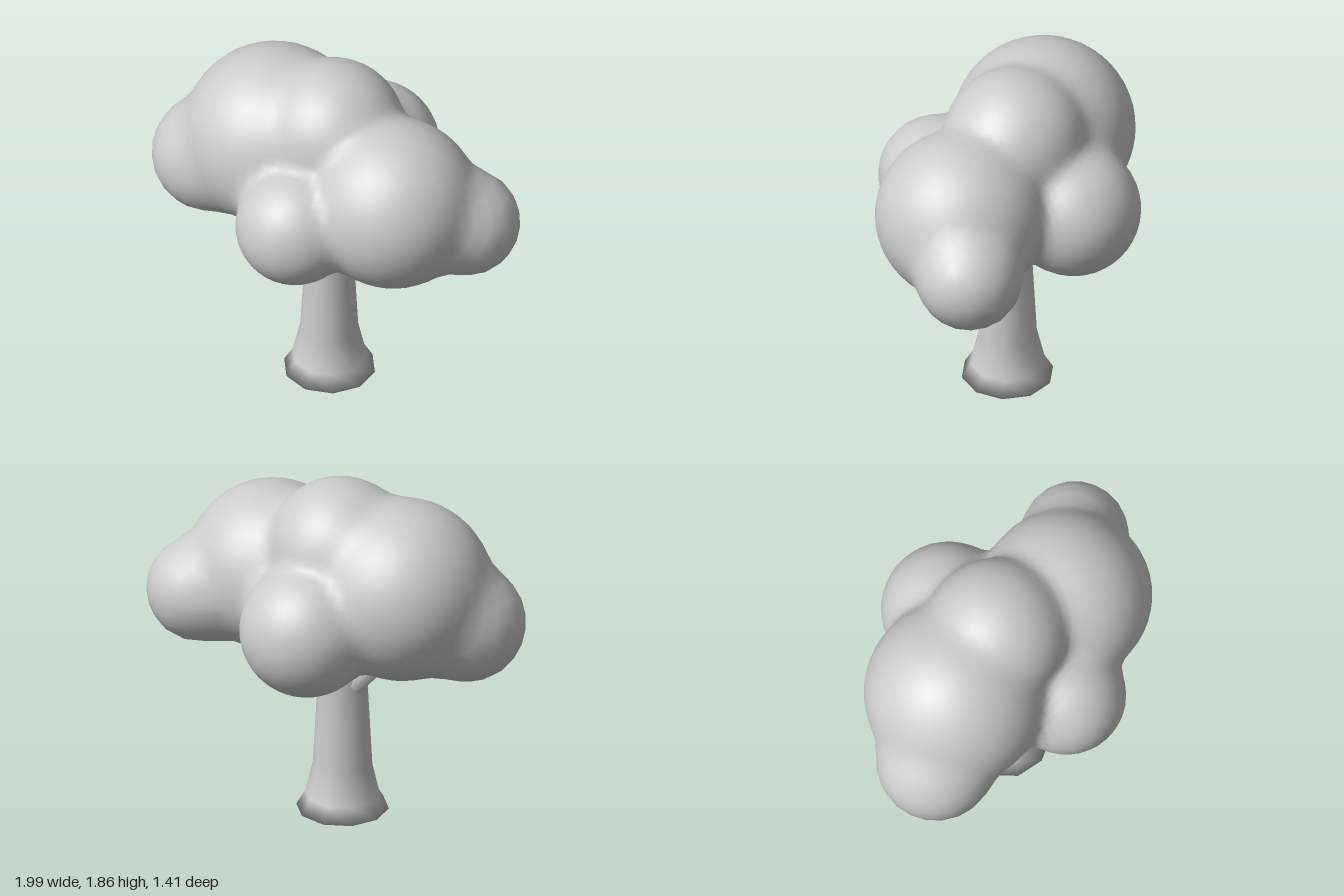
import * as THREE from 'three';
import { mergeVertices } from 'three/addons/utils/BufferGeometryUtils.js';

// Foliage clumps: x, y, z, radius
const CLUMPS = [
  [-0.38, 1.33, -0.02, 0.47],
  [-0.03, 1.49, -0.02, 0.37],
  [0.40, 1.265, 0.09, 0.44],
  [-0.69, 1.155, 0.09, 0.305],
  [0.72, 1.145, -0.1, 0.275],
  [0, 1.16, 0.40, 0.305],
  [0, 1.17, -0.36, 0.345],
];

// Soft union of all clumps: negative inside the crown
function crownField(p) {
  const k = 0.025;
  let sum = 0;
  for (const [x, y, z, r] of CLUMPS) {
    const d = Math.hypot(p.x - x, p.y - y, p.z - z) - r;
    sum += Math.exp(-d / k);
  }
  return -k * Math.log(sum);
}

// Sphere whose vertices are moved along rays onto the clump surface
function crownGeometry() {
  const centre = new THREE.Vector3(0, 1.2, 0.02);
  let geo = new THREE.IcosahedronGeometry(1, 14);
  geo.deleteAttribute('uv');
  geo.deleteAttribute('normal');
  geo = mergeVertices(geo, 1e-4);
  const pos = geo.attributes.position;
  const dir = new THREE.Vector3();
  const p = new THREE.Vector3();
  const at = (t) => crownField(p.copy(centre).addScaledVector(dir, t));
  for (let i = 0; i < pos.count; i++) {
    dir.fromBufferAttribute(pos, i).normalize();
    let t = 1.3;
    for (let n = 0; n < 200; n++) {
      const d = at(t);
      if (d < 0.0005 || t < 0.1) break;
      t -= Math.max(d * 0.8, 0.0004);
    }
    at(t);
    pos.setXYZ(i, p.x, p.y, p.z);
  }
  geo.computeVertexNormals();
  return geo;
}

// Tapered limb between two points
function limb(a, b, r0, r1, material, name) {
  const from = new THREE.Vector3(...a);
  const along = new THREE.Vector3(...b).sub(from);
  const mesh = new THREE.Mesh(new THREE.CylinderGeometry(r1, r0, along.length(), 6), material);
  mesh.position.copy(from).addScaledVector(along, 0.5);
  mesh.quaternion.setFromUnitVectors(new THREE.Vector3(0, 1, 0), along.normalize());
  mesh.name = name;
  return mesh;
}

export function createModel() {
  const grey = new THREE.MeshStandardMaterial({ color: 0xcccccc });
  grey.name = 'plain grey';
  const tree = new THREE.Group();
  tree.name = 'tree';

  // Crown
  const crown = new THREE.Mesh(crownGeometry(), grey);
  crown.name = 'crown';
  tree.add(crown);

  // Trunk with flared foot
  const profile = [[0, 0], [0.238, 0], [0.192, 0.08], [0.153, 0.25], [0.128, 0.72], [0.12, 1.0], [0, 1.0]]
    .map(([r, y]) => new THREE.Vector2(r, y));
  const trunk = new THREE.Mesh(new THREE.LatheGeometry(profile, 10), grey);
  trunk.position.set(-0.025, 0, 0.022);
  trunk.name = 'trunk';
  tree.add(trunk);

  // Branches
  tree.add(limb([-0.07, 0.69, 0.0], [-0.34, 0.98, -0.04], 0.06, 0.05, grey, 'rightBranch'));
  tree.add(limb([0.02, 0.76, 0.04], [0.27, 1.0, 0.07], 0.055, 0.045, grey, 'leftBranch'));
  return tree;
}
